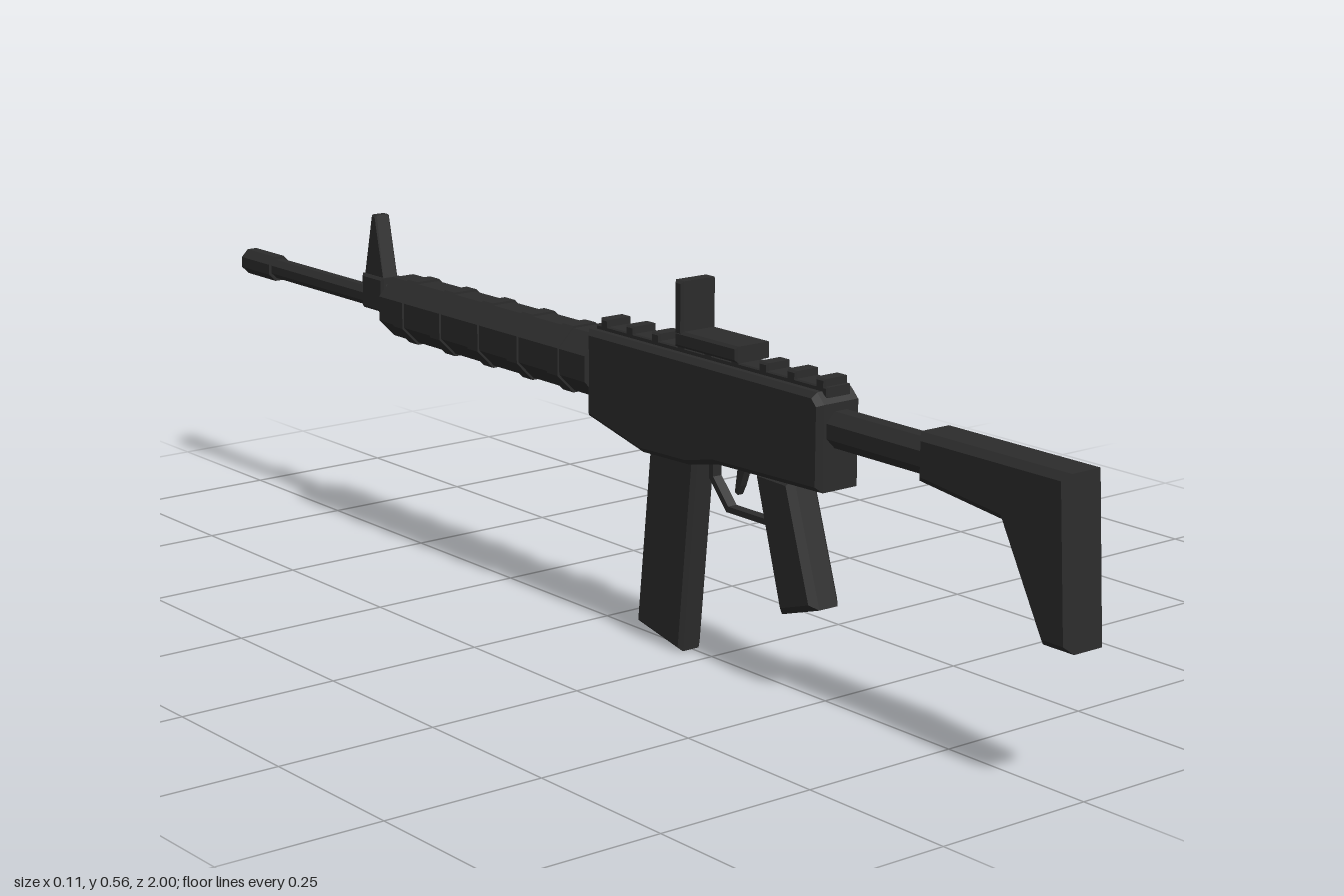
import * as THREE from 'three';

export function createModel() {
  const model = new THREE.Group();
  const body = new THREE.Group(); // centre line sits slightly off x = 0
  body.name = 'body';
  body.position.x = -0.003;
  model.add(body);

  const metal = new THREE.MeshStandardMaterial({ color: 0x2c2c2c });
  metal.name = 'charcoal metal';

  function add(name, geometry) {
    const mesh = new THREE.Mesh(geometry, metal);
    mesh.name = name;
    body.add(mesh);
    return mesh;
  }

  // Side outline given as [z, y], extruded across x with chamfered edges
  function plate(name, points, width, bevel, x = 0) {
    const shape = new THREE.Shape(points.map(([z, y]) => new THREE.Vector2(z, y)));
    const g = new THREE.ExtrudeGeometry(shape, {
      depth: width - 2 * bevel, bevelEnabled: bevel > 0, bevelSegments: 1,
      bevelThickness: bevel, bevelSize: bevel, bevelOffset: -bevel,
    });
    g.translate(0, 0, bevel - width / 2);
    g.rotateY(-Math.PI / 2);
    g.translate(x, 0, 0);
    return add(name, g);
  }

  const block = (name, z0, z1, y0, y1, width, bevel, x = 0) =>
    plate(name, [[z0, y0], [z1, y0], [z1, y1], [z0, y1]], width, bevel, x);

  // Faceted octagonal rod along z, with flats on top and sides
  function rod(name, z0, z1, apothem, y = 0.4) {
    const r = apothem / Math.cos(Math.PI / 8);
    const g = new THREE.CylinderGeometry(r, r, z1 - z0, 8, 1, false, Math.PI / 8)
      .rotateX(Math.PI / 2).toNonIndexed();
    g.translate(0, y, (z0 + z1) / 2);
    g.computeVertexNormals();
    return add(name, g);
  }

  // Shoulder stock and its tube
  plate('stock', [
    [0.71, 0.375], [0.865, 0.357], [0.945, 0.208], [1, 0.208], [0.985, 0.443], [0.71, 0.443],
  ], 0.071, 0.01);
  rod('stockTube', 0.5, 0.73, 0.026, 0.405);

  // Receiver
  plate('receiver', [
    [0, 0.325], [0.13, 0.295], [0.235, 0.298], [0.3, 0.312], [0.525, 0.318],
    [0.525, 0.443], [0.51, 0.458], [0, 0.458],
  ], 0.078, 0.008);
  block('sideButton', 0.13, 0.185, 0.357, 0.392, 0.03, 0.005, 0.041);

  // Top rail with teeth
  block('rail', 0.005, 0.52, 0.45, 0.465, 0.044, 0.002);
  for (let i = 0; i < 9; i++) {
    const z = 0.025 + i * 0.06;
    block('railTooth', z - 0.01, z + 0.01, 0.455, 0.476, 0.044, 0.003);
  }

  // Optic
  block('sightBase', 0.2, 0.34, 0.467, 0.491, 0.064, 0.004);
  block('sightScreen', 0.2, 0.219, 0.485, 0.565, 0.064, 0.004);

  // Grip and magazine
  plate('grip', [[0.37, 0.32], [0.45, 0.32], [0.507, 0.142], [0.428, 0.117]], 0.054, 0.01);
  plate('magazine', [[0.13, 0.31], [0.236, 0.31], [0.205, 0.003], [0.1, 0.025]], 0.042, 0.006);

  // Trigger and guard
  plate('trigger', [[0.315, 0.315], [0.335, 0.315], [0.322, 0.28], [0.314, 0.265], [0.308, 0.268]], 0.012, 0.001);
  const guard = [[0.4, 0.24], [0.295, 0.24], [0.258, 0.28], [0.258, 0.305]];
  for (let i = 0; i < guard.length - 1; i++) {
    const [z0, y0] = guard[i], [z1, y1] = guard[i + 1];
    const length = Math.hypot(z1 - z0, y1 - y0) + 0.006;
    const g = new THREE.BoxGeometry(0.016, 0.009, length);
    g.rotateX(-Math.atan2(y1 - y0, z1 - z0));
    g.translate(0, (y0 + y1) / 2, (z0 + z1) / 2);
    add('triggerGuard', g);
  }

  // Ribbed handguard
  rod('handguard', -0.535, 0.01, 0.048);
  for (let i = 0; i < 5; i++) {
    const z = -0.065 - i * 0.103;
    rod('handguardRib', z - 0.013, z + 0.013, 0.0515);
  }

  // Barrel and muzzle
  rod('barrel', -0.93, -0.5, 0.016);
  rod('muzzle', -1, -0.912, 0.021);

  // Front sight
  block('frontSightBase', -0.628, -0.568, 0.383, 0.44, 0.04, 0.004);
  plate('frontSightPost', [[-0.632, 0.42], [-0.566, 0.42], [-0.592, 0.54], [-0.605, 0.54]], 0.028, 0.003);

  return model;
}
